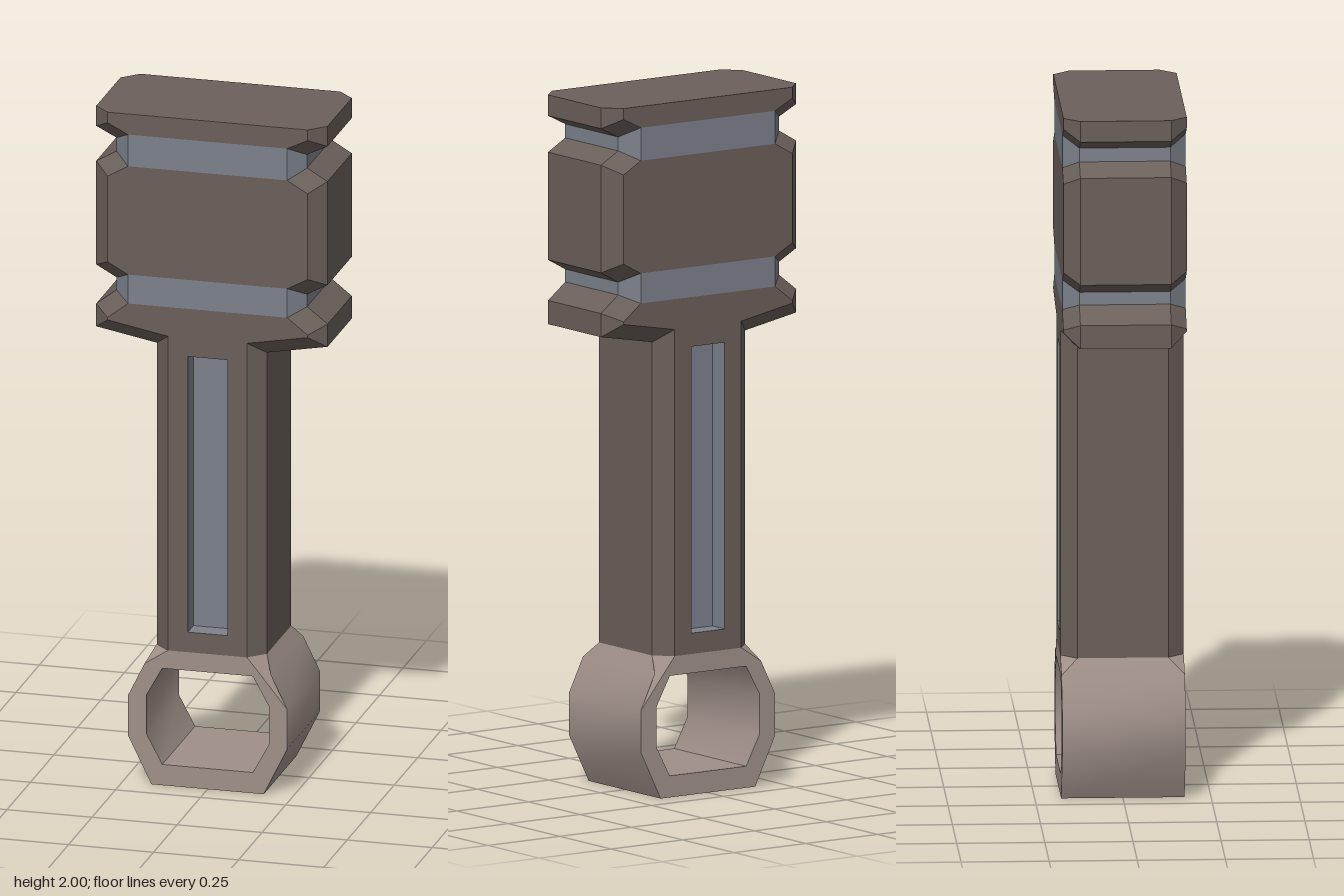
import * as THREE from 'three';
import { toCreasedNormals } from 'three/addons/utils/BufferGeometryUtils.js';

const DEPTH = 0.175;            // half thickness
const BEVEL = 0.046;            // edge chamfer
const INNER = DEPTH - BEVEL;

// Half outline of rod and head, bottom to top
const OUTLINE = [
  [0.162, 0.405], [0.162, 1.307], [0.34, 1.34], [0.34, 1.408],
  [0.28, 1.455], [0.28, 1.492], [0.34, 1.525], [0.34, 1.835],
  [0.28, 1.87], [0.28, 1.91], [0.34, 1.94], [0.34, 2],
].map(([x, y]) => new THREE.Vector2(x, y));

// Mitred inset of the outline; the two ends move only sideways
function inset(points, d) {
  const normal = (a, b) => {
    const t = b.clone().sub(a).normalize();
    return new THREE.Vector2(-t.y, t.x);
  };
  return points.map((p, i) => {
    if (i === 0 || i === points.length - 1) return new THREE.Vector2(p.x - d, p.y);
    const n1 = normal(points[i - 1], p), n2 = normal(p, points[i + 1]);
    return p.clone().addScaledVector(n1.clone().add(n2), d / (1 + n1.dot(n2)));
  });
}

// Collects faces of one quadrant and mirrors them across x and z
class Quadrant {
  constructor() { this.positions = []; }
  face(...corners) {
    for (const sx of [1, -1]) for (const sz of [1, -1]) {
      const c = corners.map(([x, y, z]) => [x * sx, y, z * sz]);
      if (sx * sz < 0) c.reverse();
      for (let i = 1; i < c.length - 1; i++) this.positions.push(...c[0], ...c[i], ...c[i + 1]);
    }
  }
  // Rectangle facing +z
  panel(x0, x1, y0, y1, z) {
    this.face([x0, y0, z], [x1, y0, z], [x1, y1, z], [x0, y1, z]);
  }
  mesh(name, material) {
    const g = new THREE.BufferGeometry();
    g.setAttribute('position', new THREE.Float32BufferAttribute(this.positions, 3));
    g.computeVertexNormals();
    const m = new THREE.Mesh(g, material);
    m.name = name;
    return m;
  }
}

export function createModel() {
  const group = new THREE.Group();
  group.name = 'piston';
  const dark = new THREE.MeshStandardMaterial({ color: 0x6b605a });
  const steel = new THREE.MeshStandardMaterial({ color: 0x7c818b });
  const light = new THREE.MeshStandardMaterial({ color: 0x9f9088 });

  const rod = new Quadrant(), head = new Quadrant(), grooves = new Quadrant(), slot = new Quadrant();
  const inner = inset(OUTLINE, BEVEL);
  const slotX = 0.058, slotY0 = 0.465, slotY1 = 1.29, slotZ = DEPTH - 0.06;

  // Sides, chamfers and front of every outline segment
  for (let i = 0; i < OUTLINE.length - 1; i++) {
    const part = i === 0 ? rod : (i === 4 || i === 8) ? grooves : head;
    const a = OUTLINE[i], b = OUTLINE[i + 1], c = inner[i], d = inner[i + 1];
    part.face([a.x, a.y, INNER], [a.x, a.y, 0], [b.x, b.y, 0], [b.x, b.y, INNER]);
    part.face([c.x, c.y, DEPTH], [a.x, a.y, INNER], [b.x, b.y, INNER], [d.x, d.y, DEPTH]);
    if (i > 0) {
      part.face([0, c.y, DEPTH], [c.x, c.y, DEPTH], [d.x, d.y, DEPTH], [0, d.y, DEPTH]);
    } else {
      // Rod front framed around the slot
      part.panel(0, c.x, c.y, slotY0, DEPTH);
      part.panel(slotX, c.x, slotY0, slotY1, DEPTH);
      part.panel(0, c.x, slotY1, d.y, DEPTH);
    }
  }

  // Flat crown
  const o = OUTLINE.at(-1), n = inner.at(-1);
  head.face([0, 2, 0], [0, 2, DEPTH], [n.x, 2, DEPTH], [o.x, 2, INNER], [o.x, 2, 0]);

  // Recessed slot: floor, side wall, bottom and top ledges
  slot.panel(0, slotX, slotY0, slotY1, slotZ);
  slot.face([slotX, slotY0, slotZ], [slotX, slotY0, DEPTH], [slotX, slotY1, DEPTH], [slotX, slotY1, slotZ]);
  slot.face([0, slotY0, slotZ], [0, slotY0, DEPTH], [slotX, slotY0, DEPTH], [slotX, slotY0, slotZ]);
  slot.face([slotX, slotY1, slotZ], [slotX, slotY1, DEPTH], [0, slotY1, DEPTH], [0, slotY1, slotZ]);

  // Bearing ring at the foot of the rod
  const loop = (half) => [...half, ...half.map(([x, y]) => [-x, y]).reverse()]
    .map(([x, y]) => new THREE.Vector2(x, y));
  const shape = new THREE.Shape(loop([
    [0.165, 0], [0.234, 0.14], [0.234, 0.26], [0.185, 0.36], [0.162, 0.405], [0.162 - BEVEL, 0.405],
  ]));
  shape.holes.push(new THREE.Path(loop([[0.133, 0.062], [0.18, 0.15], [0.18, 0.265], [0.133, 0.35]])));
  const ringGeometry = new THREE.ExtrudeGeometry(shape, { depth: 2 * DEPTH, bevelEnabled: false });
  ringGeometry.translate(0, 0, -DEPTH);
  // Pull the upper corners in to meet the rod chamfer
  const p = ringGeometry.attributes.position;
  for (let i = 0; i < p.count; i++) {
    if (p.getY(i) > 0.4 && Math.abs(p.getX(i)) > 0.15) p.setZ(i, Math.sign(p.getZ(i)) * INNER);
  }
  const ring = new THREE.Mesh(toCreasedNormals(ringGeometry, 0.55), light);
  ring.name = 'bearingRing';

  group.add(
    head.mesh('pistonHead', dark), grooves.mesh('ringGrooves', steel),
    rod.mesh('connectingRod', dark), slot.mesh('rodSlot', steel), ring,
  );
  return group;
}
